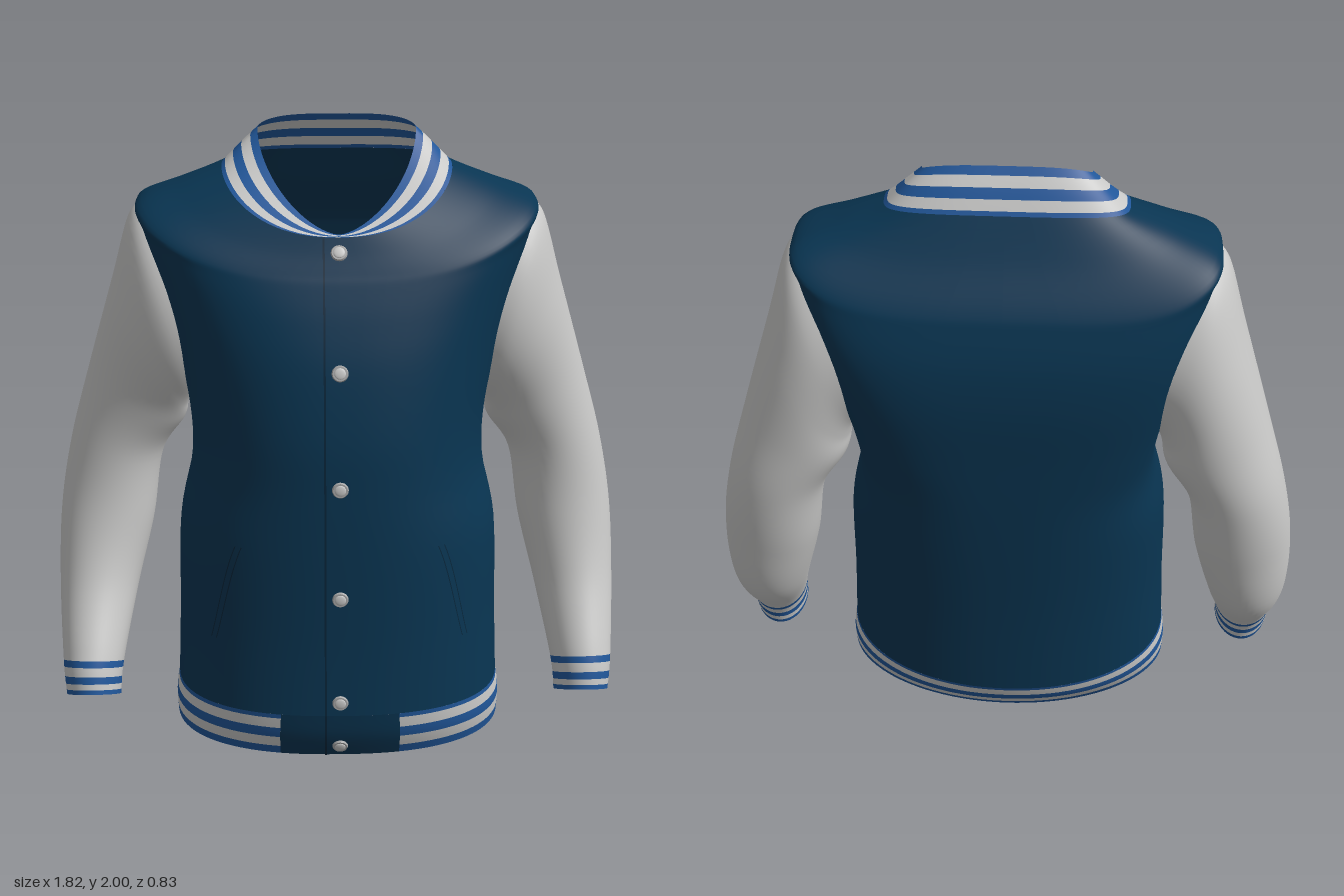
import * as THREE from 'three';

const mat = (name, color) => new THREE.MeshStandardMaterial({ name, color, side: THREE.DoubleSide });

// Smooth interpolation through rows of numbers; v is a fractional row index
function rowAt(rows, v) {
  const n = rows.length - 1;
  const i = Math.min(Math.max(Math.floor(v), 0), n - 1), t = v - i;
  const [a, b, c, d] = [i - 1, i, i + 1, i + 2].map(k => rows[Math.min(Math.max(k, 0), n)]);
  return b.map((p, k) => p + 0.5 * t * (c[k] - a[k]
    + t * (2 * a[k] - 5 * p + 4 * c[k] - d[k] + t * (3 * (p - c[k]) + d[k] - a[k]))));
}

// Skin a surface function f(u, v) -> [x, y, z]; a full turn in u is closed
function loft(name, material, f, [u0, u1], [v0, v1], nu, nv, flip = false) {
  const closed = Math.abs(u1 - u0 - Math.PI * 2) < 1e-6;
  const cols = closed ? nu : nu + 1, pos = [], idx = [];
  for (let j = 0; j <= nv; j++)
    for (let i = 0; i < cols; i++)
      pos.push(...f(u0 + (u1 - u0) * i / nu, v0 + (v1 - v0) * j / nv));
  for (let j = 0; j < nv; j++)
    for (let i = 0; i < nu; i++) {
      const k = (i + 1) % cols, a = j * cols + i, b = j * cols + k, c = a + cols, d = b + cols;
      idx.push(...(flip ? [a, b, c, b, d, c] : [a, c, b, b, c, d]));
    }
  const g = new THREE.BufferGeometry();
  g.setAttribute('position', new THREE.Float32BufferAttribute(pos, 3));
  g.setIndex(idx);
  g.computeVertexNormals();
  const mesh = new THREE.Mesh(g, material);
  mesh.name = name;
  return mesh;
}

// Rounded body section: half width, centre z, front z, back z,
// side / front / back height, front and back corner power, height power
function bodyPoint(rows, u, v) {
  const [w, zc, zf, zb, ys, yf, yb, pf, pb, q] = rowAt(rows, v);
  const c = Math.cos(u), s = Math.sin(u), front = s >= 0, p = front ? pf : pb, m = Math.abs(s);
  return [
    w * Math.sign(c) * Math.abs(c) ** p,
    ys + ((front ? yf : yb) - ys) * m ** q,
    zc + ((front ? zf : zb) - zc) * m ** p,
  ];
}

const TORSO = [
  [0.52, 0, 0.412, -0.33, 0.21, 0.23, 0.15, 0.84, 0.95, 1.2],
  [0.51, 0, 0.405, -0.35, 0.45, 0.45, 0.45, 0.85, 0.9, 1.4],
  [0.50, -0.01, 0.402, -0.375, 0.75, 0.75, 0.75, 0.86, 0.82, 1.7],
  [0.46, -0.04, 0.397, -0.39, 0.95, 0.95, 0.95, 0.86, 0.72, 1.7],
  [0.465, -0.08, 0.387, -0.40, 1.12, 1.12, 1.12, 0.85, 0.6, 1.7],
  [0.505, -0.11, 0.352, -0.41, 1.32, 1.32, 1.32, 0.81, 0.52, 1.7],
  [0.55, -0.12, 0.31, -0.40, 1.50, 1.46, 1.47, 0.76, 0.48, 1.7],
  [0.595, -0.11, 0.27, -0.37, 1.68, 1.56, 1.59, 0.73, 0.48, 1.7],
  [0.61, -0.11, 0.25, -0.345, 1.752, 1.60, 1.65, 0.73, 0.5, 1.7],
  [0.48, -0.10, 0.225, -0.275, 1.81, 1.65, 1.76, 0.8, 0.55, 1.5],
  [0.35, -0.08, 0.203, -0.21, 1.86, 1.70, 1.88, 0.86, 0.58, 1.3],
];
const HEM = [
  TORSO[0],
  [0.53, 0, 0.40, -0.305, 0.14, 0.15, 0.08, 0.84, 0.97, 1.2],
  [0.528, 0, 0.37, -0.25, 0.067, 0.07, 0, 0.84, 1, 1.2],
];
const COLLAR = [
  TORSO[10],
  [0.295, -0.085, 0.197, -0.177, 1.915, 1.702, 1.943, 1.05, 0.59, 1.2],
  [0.24, -0.09, 0.19, -0.14, 1.965, 1.705, 2.0, 1.27, 0.6, 1.15],
];

// Sleeve section: outer x y, inner x y, centre z, front vector y z, bend at the armhole
const SLEEVE = [
  [0.59, 1.75, 0.43, 1.16, -0.115, 0, 0.215, 0.06],
  [0.642, 1.695, 0.46, 1.12, -0.118, 0, 0.226, 0.022],
  [0.70, 1.50, 0.475, 1.08, -0.137, 0, 0.21, 0],
  [0.79, 1.20, 0.49, 1.02, -0.165, 0, 0.176, 0],
  [0.86, 0.95, 0.565, 0.90, -0.175, 0.01, 0.155, 0],
  [0.90, 0.72, 0.60, 0.68, -0.15, 0.03, 0.14, 0],
  [0.91, 0.48, 0.655, 0.46, -0.085, 0.05, 0.132, 0],
  [0.895, 0.255, 0.70, 0.25, 0.06, 0.047, 0.105, 0],
  [0.885, 0.148, 0.71, 0.148, 0.098, 0.048, 0.1, 0],
];
function sleevePoint(side, u, v) {
  const [ox, oy, ix, iy, zc, vy, vz, bend] = rowAt(SLEEVE, v);
  const c = Math.cos(u), s = Math.sin(u);
  return [
    side * ((ox + ix) / 2 + c * (ox - ix) / 2 - bend * s * s),
    (oy + iy) / 2 + c * (oy - iy) / 2 + s * vy,
    zc + s * vz,
  ];
}

export function createModel() {
  const model = new THREE.Group();
  const navy = mat('navy cloth', 0x093552);
  const blue = mat('rib blue', 0x21579a);
  const pale = mat('pale grey', 0xc9c9c8);
  const metal = mat('button metal', 0xa9a9a9);
  const dark = mat('seam dark', 0x07263b);
  const FULL = [0, Math.PI * 2];

  // Ribbed trim: five alternating bands over a range of v
  const BANDS = [0, 0.13, 0.34, 0.55, 0.77, 1];
  function ribbing(name, f, uRange, v0, v1, nu, flip) {
    const g = new THREE.Group();
    g.name = name;
    for (let i = 0; i < 5; i++) {
      const range = [BANDS[i], BANDS[i + 1]].map(t => v0 + (v1 - v0) * t);
      g.add(loft(i % 2 ? 'paleStripe' : 'blueBand', i % 2 ? pale : blue, f, uRange, range, nu, 3, flip));
    }
    model.add(g);
  }

  // Body
  const torso = (u, v) => bodyPoint(TORSO, u, v);
  model.add(loft('torso', navy, torso, FULL, [0, 10], 96, 60));

  // Waistband with a plain placket in front
  const hem = (u, v) => bodyPoint(HEM, u, v);
  ribbing('waistband', hem, [1.866, Math.PI * 2 + 1.276], 0, 2, 84, true);
  model.add(loft('waistbandPlacket', navy, hem, [1.276, 1.866], [0, 2], 14, 8, true));

  // Collar
  ribbing('collar', (u, v) => bodyPoint(COLLAR, u, v), FULL, 0, 2, 128, false);

  // Straight front opening seam, on the body and on the waistband
  const seam = rows => (x, v) => {
    const row = rowAt(rows, v);
    const p = bodyPoint(rows, Math.acos(-((x / row[0]) ** (1 / row[7]))), v);
    p[2] += 0.003;
    return p;
  };
  model.add(loft('openingSeam', dark, seam(TORSO), [0.042, 0.048], [0, 9.9], 1, 50));
  model.add(loft('waistbandSeam', dark, seam(HEM), [0.042, 0.048], [0, 2], 1, 8, true));

  for (const side of [1, -1]) {
    const label = side > 0 ? 'left' : 'right';
    const arm = (u, v) => sleevePoint(side, u, v);
    // Sleeve and cuff
    model.add(loft(label + 'Sleeve', pale, arm, FULL, [0, 7], 48, 49, side > 0));
    ribbing(label + 'Cuff', arm, FULL, 7, 8, 48, side > 0);
    // Slanted pocket welt, two stitched lines
    for (const shift of [0, 0.05]) {
      const welt = (a, v) => {
        const [x, y, z] = torso(0.72 + (v - 1) * 0.19 + shift + a, v);
        return [side * x, y, z + 0.003];
      };
      model.add(loft(label + 'PocketStitch', dark, welt, [0, 0.008], [1, 2.1], 1, 14, side < 0));
    }
  }

  // Flat snap buttons: height, z and backward tilt
  const rim = new THREE.CylinderGeometry(0.022, 0.025, 0.006, 24).rotateX(Math.PI / 2);
  const dome = new THREE.SphereGeometry(0.017, 20, 10, 0, Math.PI * 2, 0, Math.PI / 2)
    .rotateX(Math.PI / 2).scale(1, 1, 0.25).translate(0, 0, 0.003);
  const SNAPS = [[1.66, 0.223, 0.6], [1.33, 0.35, 0.3], [0.98, 0.396, 0.05],
    [0.625, 0.404, 0], [0.275, 0.412, 0], [0.11, 0.388, -0.35]];
  for (const [y, z, tilt] of SNAPS) {
    const snap = new THREE.Group();
    snap.name = 'snapButton';
    snap.add(new THREE.Mesh(rim, metal), new THREE.Mesh(dome, pale));
    snap.children[0].name = 'buttonRim';
    snap.children[1].name = 'buttonDome';
    snap.position.set(0, y, z + 0.003);
    snap.rotation.x = -tilt;
    model.add(snap);
  }
  return model;
}
